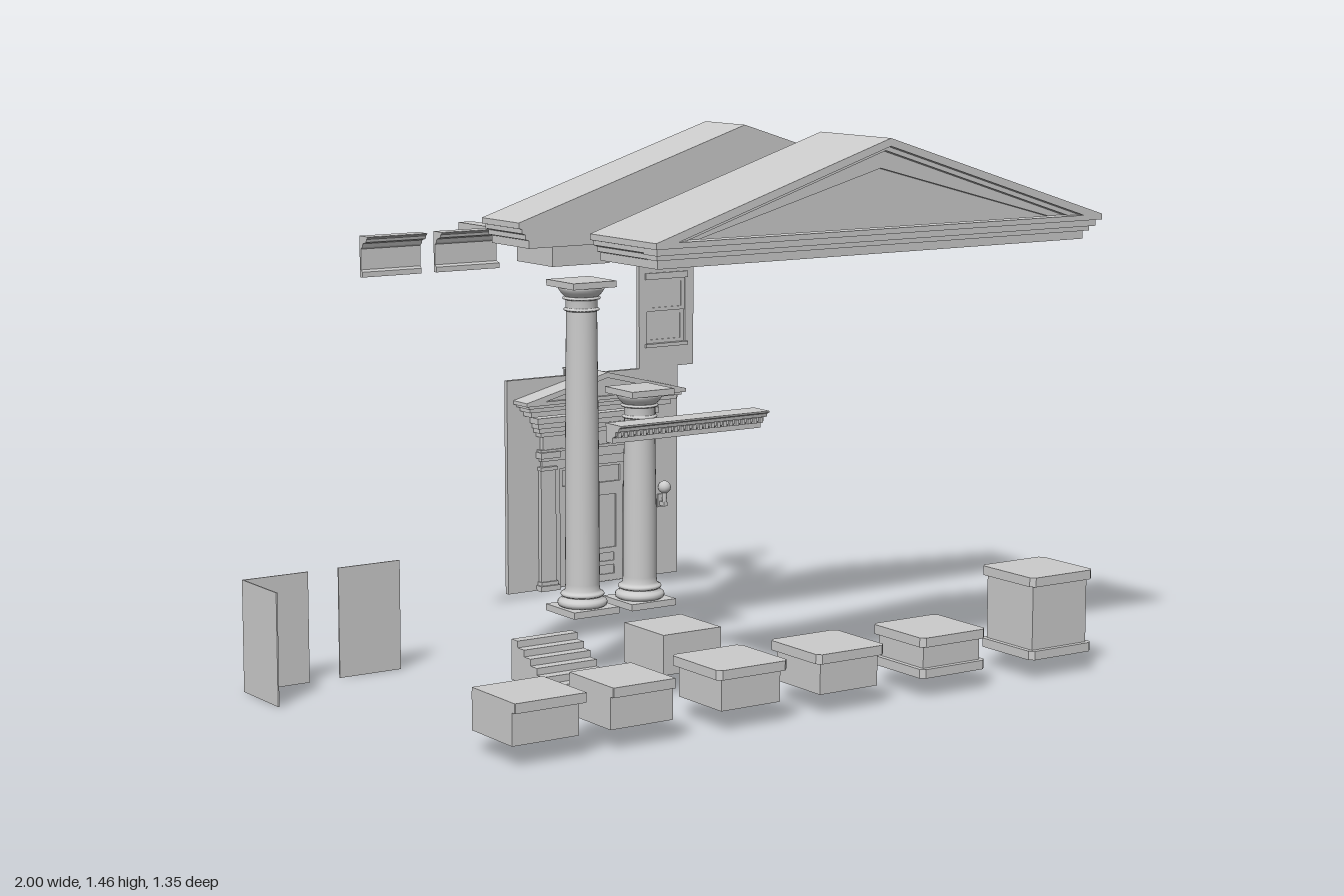
import * as THREE from 'three';

const mat = new THREE.MeshStandardMaterial({ color: 0xcccccc, side: THREE.DoubleSide });

export function createModel() {
  const root = new THREE.Group();
  const part = (name) => {
    const g = new THREE.Group();
    g.name = name;
    root.add(g);
    return g;
  };
  const add = (parent, name, geo) => {
    const m = new THREE.Mesh(geo, mat);
    m.name = name;
    parent.add(m);
    return m;
  };
  const box = (parent, name, x0, x1, y0, y1, z0, z1) => {
    const m = add(parent, name, new THREE.BoxGeometry(x1 - x0, y1 - y0, z1 - z0));
    m.position.set((x0 + x1) / 2, (y0 + y1) / 2, (z0 + z1) / 2);
    return m;
  };
  const vecs = (pts) => pts.map(([x, y]) => new THREE.Vector2(x, y));
  const rect = (x0, x1, y0, y1) => [[x0, y0], [x1, y0], [x1, y1], [x0, y1]];
  // Plate in the xy plane from z0 to z1, with holes
  const plate = (parent, name, pts, z0, z1, holes = []) => {
    const s = new THREE.Shape(vecs(pts));
    holes.forEach((h) => s.holes.push(new THREE.Path(vecs(h))));
    const m = add(parent, name, new THREE.ExtrudeGeometry(s, { depth: z1 - z0, bevelEnabled: false }));
    m.position.z = z0;
    return m;
  };
  // Moulding run: profile (outward, up) along local z, ends mitred by m0 and m1
  const run = (parent, name, prof, x, y, z, angle, len, m0 = 0, m1 = 0) => {
    const g = new THREE.ExtrudeGeometry(new THREE.Shape(vecs(prof)), { depth: len, bevelEnabled: false });
    const p = g.attributes.position;
    for (let i = 0; i < p.count; i++) {
      const k = p.getZ(i) < len / 2 ? m0 : m1;
      p.setZ(i, p.getZ(i) + k * p.getX(i));
    }
    g.computeVertexNormals();
    const m = add(parent, name, g);
    m.position.set(x, y, z);
    m.rotation.y = angle;
  };
  const FRONT = -Math.PI / 2;

  // Gable roofs: stepped eaves, apex at x = 0.265
  const cx = 0.265;
  const mirror = (half) => [...half, ...half.slice().reverse().filter((q) => q[0] > 0).map(([x, y]) => [-x, y])];
  const shift = (pts) => pts.map(([x, y]) => [x + cx, y]);
  const gable = shift(mirror([[0.67, 1.165], [0.67, 1.185], [0.68, 1.188], [0.68, 1.2], [0.69, 1.204], [0.69, 1.215], [0.7, 1.217], [0.7, 1.232], [0, 1.455]]));
  const tympanum = shift([[-0.56, 1.228], [0.56, 1.228], [0, 1.378]]);
  const rakeOuter = shift([[-0.7, 1.217], [0.7, 1.217], [0.7, 1.232], [0, 1.455], [-0.7, 1.232]]);
  const rakeHole = (t) => shift([[-0.7 + t / 0.319, 1.231], [0.7 - t / 0.319, 1.231], [0, 1.455 - t]]);
  const roofF = part('frontPediment');
  plate(roofF, 'roofCore', gable, 0.38, 0.615);
  plate(roofF, 'tympanumFrame', gable, 0.615, 0.63, [tympanum]);
  plate(roofF, 'rakeInner', rakeOuter, 0.63, 0.65, [rakeHole(0.032)]);
  plate(roofF, 'rakeOuter', rakeOuter, 0.65, 0.67, [rakeHole(0.02)]);
  box(roofF, 'corniceLow', cx - 0.68, cx + 0.68, 1.187, 1.2, 0.6, 0.643);
  box(roofF, 'corniceMid', cx - 0.69, cx + 0.69, 1.2, 1.217, 0.6, 0.657);
  plate(part('rearRoof'), 'roofCore', gable, -0.135, 0.047);

  // Pedestals: body extents, cap extents, height, foot moulding
  const slab = (parent, name, x0, x1, y0, y1, z0, z1, c) => {
    const pts = [[x0 + c, -z0], [x1 - c, -z0], [x1, -z0 - c], [x1, -z1 + c], [x1 - c, -z1], [x0 + c, -z1], [x0, -z1 + c], [x0, -z0 - c]];
    const g = new THREE.ExtrudeGeometry(new THREE.Shape(vecs(pts)), { depth: y1 - y0, bevelEnabled: false });
    g.rotateX(-Math.PI / 2).translate(0, y0, 0);
    add(parent, name, g);
  };
  [
    [-0.81, -0.622, -0.81, -0.608, 0.16, false, 0.43],
    [-0.532, -0.35, -0.532, -0.35, 0.16, false, 0.43],
    [-0.205, -0.025, -0.222, -0.008, 0.16, false, 0.417],
    [0.1, 0.282, 0.084, 0.298, 0.16, false, 0.417],
    [0.432, 0.618, 0.418, 0.632, 0.16, true, 0.417],
    [0.8, 0.986, 0.786, 1, 0.275, true, 0.417],
  ].forEach(([x0, x1, c0, c1, top, foot, zb], i) => {
    const g = part('pedestal' + (i + 1));
    const c = zb < 0.42 ? 0.012 : 0.002;
    box(g, 'body', x0, x1, 0.053, top - 0.01, 0.43, 0.616);
    slab(g, 'cap', c0, c1, top - 0.025, top, zb, 0.63, c);
    if (foot) slab(g, 'foot', c0, c1, 0.053, 0.077, zb, 0.63, c);
  });
  box(part('plainBlock'), 'block', -0.115, 0.067, 0.053, 0.16, 0.042, 0.227);

  // Steps descending to the front
  const stairs = part('stairs');
  const n = 6;
  const stepPts = [[0, 0]];
  for (let i = 0; i < n; i++) {
    stepPts.push([0.185 * (1 - i / n), (0.107 * i) / n], [0.185 * (1 - i / n), (0.107 * (i + 1)) / n]);
  }
  stepPts.push([0, 0.107]);
  run(stairs, 'steps', stepPts, -0.28, 0.053, 0.042, FRONT, 0.182);

  // Columns with square plinth and abacus
  const column = (name, x, top) => {
    const g = part(name);
    const y0 = 0.165;
    box(g, 'plinth', x - 0.071, x + 0.071, y0, y0 + 0.018, -0.181, -0.039);
    box(g, 'abacus', x - 0.067, x + 0.067, top - 0.017, top, -0.177, -0.043);
    const b = y0 + 0.018, t = top - 0.017;
    const ring = (r, yc, h) => [-1, -0.6, 0, 0.6, 1].map((k) => [r + 0.007 * Math.sqrt(1 - k * k), yc + k * h]);
    const prof = [[0, b], ...ring(0.06, b + 0.01, 0.01), [0.055, b + 0.022], [0.055, b + 0.026],
      ...ring(0.052, b + 0.033, 0.006), [0.047, b + 0.044], [0.0455, b + 0.06],
      [0.0455, b + (t - b) * 0.4], [0.041, t - 0.065], ...ring(0.041, t - 0.06, 0.004), [0.042, t - 0.054], [0.042, t - 0.034],
      ...ring(0.044, t - 0.03, 0.004), [0.047, t - 0.024], [0.055, t - 0.015], [0.061, t - 0.006], [0.061, t], [0, t]];
    add(g, 'shaft', new THREE.LatheGeometry(vecs(prof), 32)).position.set(x, 0, -0.11);
  };
  column('tallColumn', -0.148, 1.055);
  column('shortColumn', 0.035, 0.755);

  // Cornice pieces, straight and cornered
  const cornice = [[0, 0], [0.013, 0], [0.013, 0.014], [0.007, 0.02], [0.007, 0.075], [0.014, 0.08], [0.018, 0.09], [0.036, 0.095], [0.038, 0.103], [0.045, 0.108], [0.045, 0.11], [0, 0.11]];
  run(part('corniceStraight'), 'moulding', cornice, -0.42, 1.055, -0.49, FRONT, 0.18);
  const outer = part('corniceOuterCorner');
  run(outer, 'frontLeg', cornice, -0.19, 1.055, -0.49, FRONT, 0.185, -1, 0);
  run(outer, 'sideLeg', cornice, -0.19, 1.055, -0.675, 0, 0.185, 0, 1);
  const inner = part('corniceInnerCorner');
  run(inner, 'frontLeg', cornice, 0.44, 1.055, -0.605, FRONT, 0.175, 0, -1);
  run(inner, 'sideLeg', cornice, 0.265, 1.055, -0.605, 0, 0.185, 1, 0);
  box(part('upperBlock'), 'block', -0.045, 0.14, 1.055, 1.163, -0.602, -0.418);

  // Small eave strip with dentils
  const strip = part('eaveStrip');
  run(strip, 'moulding', [[0, 0], [0.032, 0], [0.032, 0.014], [0.045, 0.02], [0.045, 0.03], [0.06, 0.033], [0.062, 0.042], [0.072, 0.046], [0.072, 0.05], [0, 0.05]],
    0.272, 0.655, 0.083, FRONT, 0.47);
  for (let i = 0; i < 24; i++) {
    const x = -0.188 + i * 0.0195;
    box(strip, 'dentil', x - 0.005, x + 0.005, 0.671, 0.685, 0.11, 0.134);
  }

  // Thin wall panels
  const panels = part('wallPanels');
  box(panels, 'cornerFront', -1, -0.81, 0, 0.298, -0.415, -0.411);
  box(panels, 'cornerSide', -1, -0.996, 0, 0.298, -0.415, -0.222);
  box(panels, 'flatPanel', -0.72, -0.535, 0, 0.298, -0.415, -0.411);

  // Entrance wall and window wall
  const dx = 0.07;
  const wall = part('entranceWall');
  plate(wall, 'wall', rect(-0.2, 0.358, 0.165, 0.755), -0.419, -0.405, [rect(dx - 0.11, dx + 0.11, 0.166, 0.505)]);
  const win = part('windowWall');
  plate(win, 'wall', rect(0.23, 0.412, 0.755, 1.055), -0.419, -0.405, [rect(0.256, 0.384, 0.822, 1.002)]);
  [[0.822, 0.912, -0.416], [0.912, 1.002, -0.412]].forEach(([a, b, z]) => {
    plate(win, 'sash', rect(0.256, 0.384, a, b), z - 0.003, z + 0.004, [rect(0.268, 0.372, a + 0.01, b - 0.01)]);
    box(win, 'pane', 0.266, 0.374, a + 0.008, b - 0.008, z - 0.001, z + 0.001);
  });
  box(win, 'sill', 0.25, 0.39, 0.812, 0.822, -0.426, -0.398);
  box(win, 'head', 0.25, 0.39, 1.002, 1.02, -0.424, -0.4);

  // Door surround, worked on both faces of the wall
  const door = part('doorSurround');
  const zc = -0.413;
  const tier = (name, half, y0, y1, d) => box(door, name, dx - half, dx + half, y0, y1, zc - d, zc + d);
  [[0.165, 0.5, 0.525, 0.017], [0.17, 0.525, 0.55, 0.022], [0.175, 0.55, 0.558, 0.028], [0.166, 0.558, 0.595, 0.024],
    [0.178, 0.595, 0.607, 0.032], [0.186, 0.607, 0.62, 0.038], [0.192, 0.62, 0.634, 0.044], [0.198, 0.634, 0.65, 0.049]]
    .forEach(([h, a, b, d], i) => tier('entablature' + (i + 1), h, a, b, d));
  for (const s of [-1, 1]) {
    const post = (name, c, h, y0, y1, d) => box(door, name, dx + s * c - h, dx + s * c + h, y0, y1, zc - d, zc + d);
    post('pilaster', 0.148, 0.024, 0.165, 0.505, 0.023);
    post('pilasterBase', 0.148, 0.031, 0.165, 0.18, 0.034);
    post('pilasterBaseRing', 0.148, 0.027, 0.18, 0.19, 0.028);
    post('pilasterNeck', 0.148, 0.027, 0.5, 0.51, 0.028);
    post('pilasterCapital', 0.148, 0.031, 0.535, 0.552, 0.036);
    post('doorJamb', 0.115, 0.009, 0.165, 0.505, 0.015);
    // Door leaf: glazing above, two small panels below
    const l = dx + s * 0.053;
    plate(door, 'doorLeaf', rect(l - 0.052, l + 0.052, 0.165, 0.435), zc - 0.006, zc + 0.006,
      [rect(l - 0.03, l + 0.03, 0.26, 0.41), rect(l - 0.024, l + 0.024, 0.222, 0.245), rect(l - 0.024, l + 0.024, 0.185, 0.21)]);
    box(door, 'doorPanels', l - 0.045, l + 0.045, 0.175, 0.425, zc - 0.002, zc + 0.002);
  }
  plate(door, 'transomFrame', rect(dx - 0.106, dx + 0.106, 0.435, 0.505), zc - 0.009, zc + 0.009, [rect(dx - 0.095, dx + 0.095, 0.447, 0.492)]);
  box(door, 'transomPane', dx - 0.1, dx + 0.1, 0.44, 0.5, zc - 0.002, zc + 0.002);

  // Low pediment over the door
  const hood = part('doorPediment');
  const hx = 0.08;
  plate(hood, 'gable', [[hx - 0.26, 0.69], [hx + 0.26, 0.69], [hx + 0.26, 0.7], [hx, 0.765], [hx - 0.26, 0.7]], -0.405, -0.345);
  plate(hood, 'rake', [[hx - 0.26, 0.69], [hx + 0.26, 0.69], [hx + 0.26, 0.7], [hx, 0.765], [hx - 0.26, 0.7]], -0.345, -0.335,
    [[[hx - 0.2, 0.7], [hx + 0.2, 0.7], [hx, 0.75]]]);
  [[0.25, 0.682, 0.69, -0.342], [0.24, 0.67, 0.682, -0.353], [0.228, 0.655, 0.67, -0.364]]
    .forEach(([h, a, b, z]) => box(hood, 'hoodStep', hx - h, hx + h, a, b, -0.405, z));

  // Wall lamp
  const lamp = part('wallLamp');
  add(lamp, 'globe', new THREE.SphereGeometry(0.018, 20, 14)).position.set(0.3, 0.417, -0.383);
  add(lamp, 'stem', new THREE.CylinderGeometry(0.008, 0.005, 0.04, 12)).position.set(0.3, 0.385, -0.383);
  box(lamp, 'bracket', 0.294, 0.306, 0.363, 0.375, -0.405, -0.377);
  box(lamp, 'backPlate', 0.29, 0.31, 0.358, 0.395, -0.407, -0.4);

  // Hanging lamp
  const pendant = part('pendantLamp');
  add(pendant, 'rod', new THREE.CylinderGeometry(0.0025, 0.0025, 0.24, 8)).position.set(dx, 0.635, -0.541);
  add(pendant, 'shade', new THREE.LatheGeometry(vecs([[0, 0.464], [0.01, 0.467], [0.021, 0.479], [0.027, 0.495], [0.028, 0.504], [0.025, 0.511], [0.014, 0.517], [0.006, 0.524], [0, 0.53]]), 24)).position.set(dx, 0, -0.541);
  add(pendant, 'ceilingCap', new THREE.CylinderGeometry(0.006, 0.006, 0.004, 12)).position.set(dx, 0.754, -0.541);

  return root;
}
